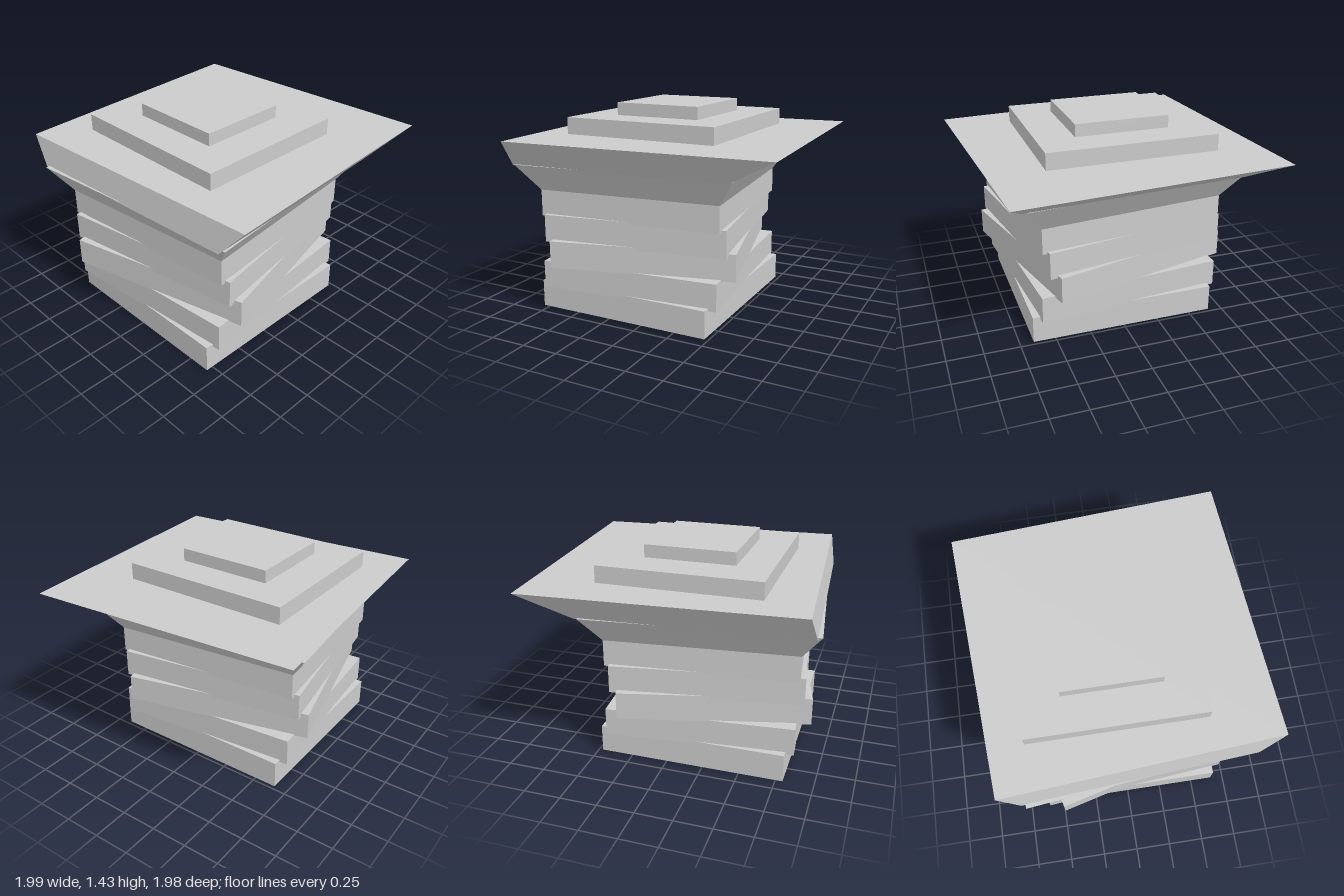
import * as THREE from 'three';

const material = new THREE.MeshStandardMaterial({ color: 0xcccccc, flatShading: true });

// Four-sided block from y0 to y1, turned about y; the top may differ in size and slide in x.
function block(name, { y0, y1, size, top = size, turn = 0, x = 0, z = 0, slide = 0 }) {
  const geometry = new THREE.BoxGeometry(1, 1, 1);
  const pos = geometry.attributes.position;
  const angle = THREE.MathUtils.degToRad(turn);
  const cos = Math.cos(angle), sin = Math.sin(angle);
  for (let i = 0; i < pos.count; i++) {
    const upper = pos.getY(i) > 0;
    const [w, d] = upper ? top : size;
    const px = pos.getX(i) * w, pz = pos.getZ(i) * d;
    pos.setXYZ(i,
      x + px * cos + pz * sin + (upper ? slide : 0),
      upper ? y1 : y0,
      z - px * sin + pz * cos);
  }
  geometry.computeVertexNormals();
  const mesh = new THREE.Mesh(geometry, material);
  mesh.name = name;
  return mesh;
}

export function createModel() {
  const model = new THREE.Group();
  model.name = 'twistedPedestal';
  const x = -0.163;
  const shaft = [1.27, 1.31], flare = [1.51, 1.56];

  // Twisted shaft: equal slabs, each turned a little and sunk into the next
  const slabs = [
    [0, 0.19, 0],
    [0.172, 0.36, 5],
    [0.352, 0.537, 13.9],
    [0.517, 0.705, 9.2],
    [0.69, 0.87, 6],
  ];
  slabs.forEach(([y0, y1, turn], i) =>
    model.add(block(`shaftSlab${i + 1}`, { y0, y1, turn, x, size: shaft })));

  // Flaring capital, the upper tier leaning towards +x
  model.add(block('lowerFlare', { y0: 0.87, y1: 1.055, turn: 6, x, size: shaft, top: flare }));
  model.add(block('upperFlare', {
    y0: 1.045, y1: 1.23, turn: 4, x, size: flare, top: [1.817, 1.856], slide: 0.189,
  }));

  // Stepped cap
  model.add(block('lowerStep', { y0: 1.23, y1: 1.345, x: -0.081, z: -0.06, size: [1.095, 1.176] }));
  model.add(block('upperStep', { y0: 1.345, y1: 1.432, x: -0.081, z: -0.06, size: [0.617, 0.656] }));
  return model;
}
